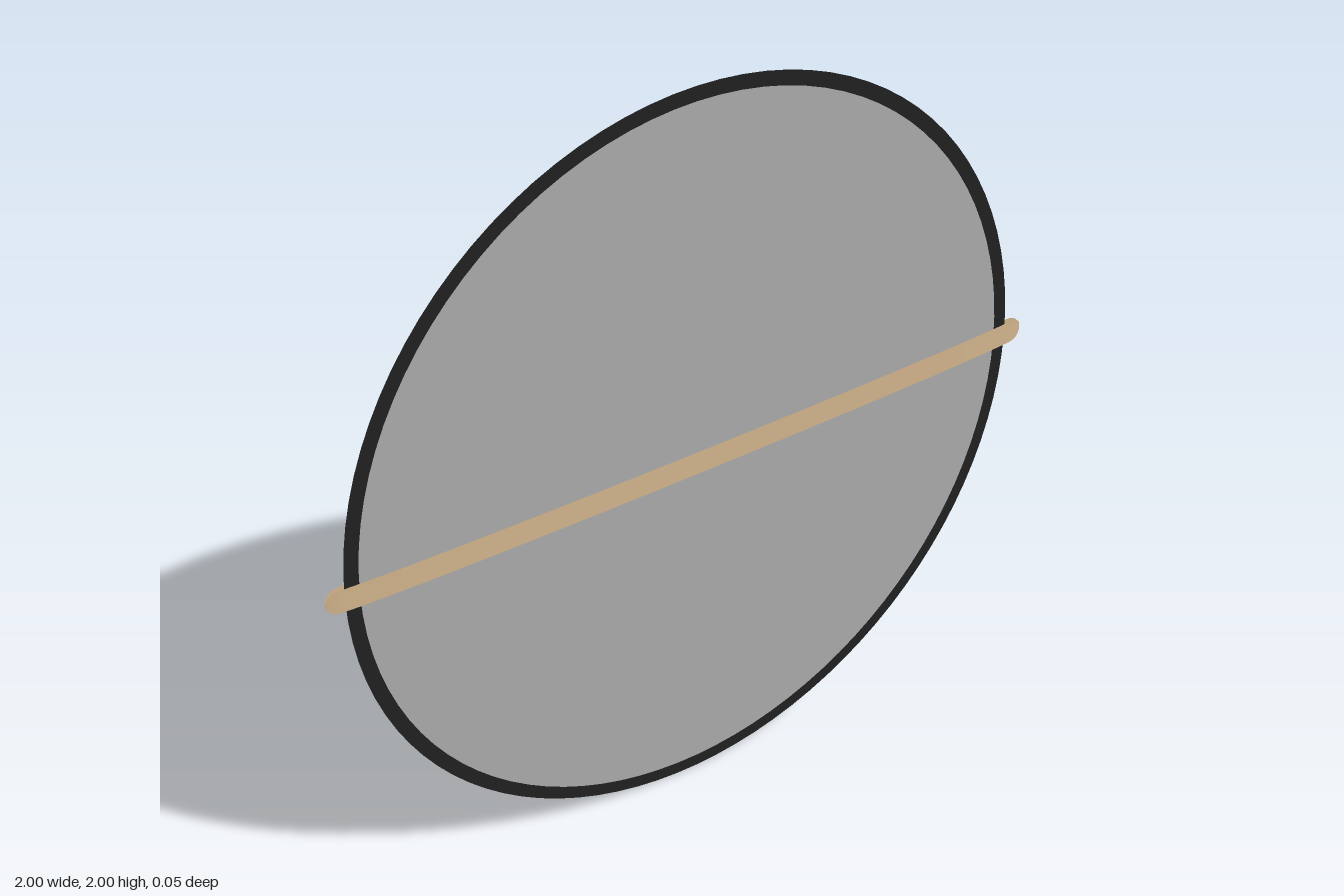
import * as THREE from 'three';

const RX = 0.95, RY = 1, RIM = 0.037;

function paint(color) {
  return new THREE.MeshStandardMaterial({ color, side: THREE.DoubleSide });
}

// Flat oval of given radii
function oval(name, rx, ry, z, material) {
  const mesh = new THREE.Mesh(new THREE.CircleGeometry(1, 96), material);
  mesh.name = name;
  mesh.scale.set(rx, ry, 1);
  mesh.position.set(0, RY, z);
  return mesh;
}

// Thin band with rounded ends, bowed away from the disc towards side (+1 front, -1 back)
function band(name, side, material) {
  const half = 0.032, bow = 0.025;
  const geometry = new THREE.PlaneGeometry(Math.PI, 2, 64, 1);
  const p = geometry.attributes.position;
  for (let i = 0; i < p.count; i++) {
    const t = p.getX(i);
    const x = Math.sin(t);
    const e = Math.max(0, (Math.abs(x) - (1 - half)) / half);
    p.setXYZ(i, x, p.getY(i) * half * Math.sqrt(Math.max(0, 1 - e * e)), bow * Math.cos(t));
  }
  geometry.computeVertexNormals();
  const mesh = new THREE.Mesh(geometry, material);
  mesh.name = name;
  mesh.position.y = RY + 0.002;
  if (side < 0) mesh.rotation.y = Math.PI;
  return mesh;
}

export function createModel() {
  const model = new THREE.Group();
  model.name = 'ovalPanel';
  const black = paint(0x202020), grey = paint(0xaaaaaa), tan = paint(0xd2b48c);

  // Black backing, whose uncovered edge forms the rim
  model.add(oval('backing', RX, RY, 0, black));
  // Grey face on the front only
  const face = oval('frontFace', RX - RIM, RY - RIM, 0.002, grey);
  grey.side = THREE.FrontSide;
  model.add(face);
  // Bands across front and back
  model.add(band('frontBand', 1, tan), band('backBand', -1, tan));
  return model;
}
